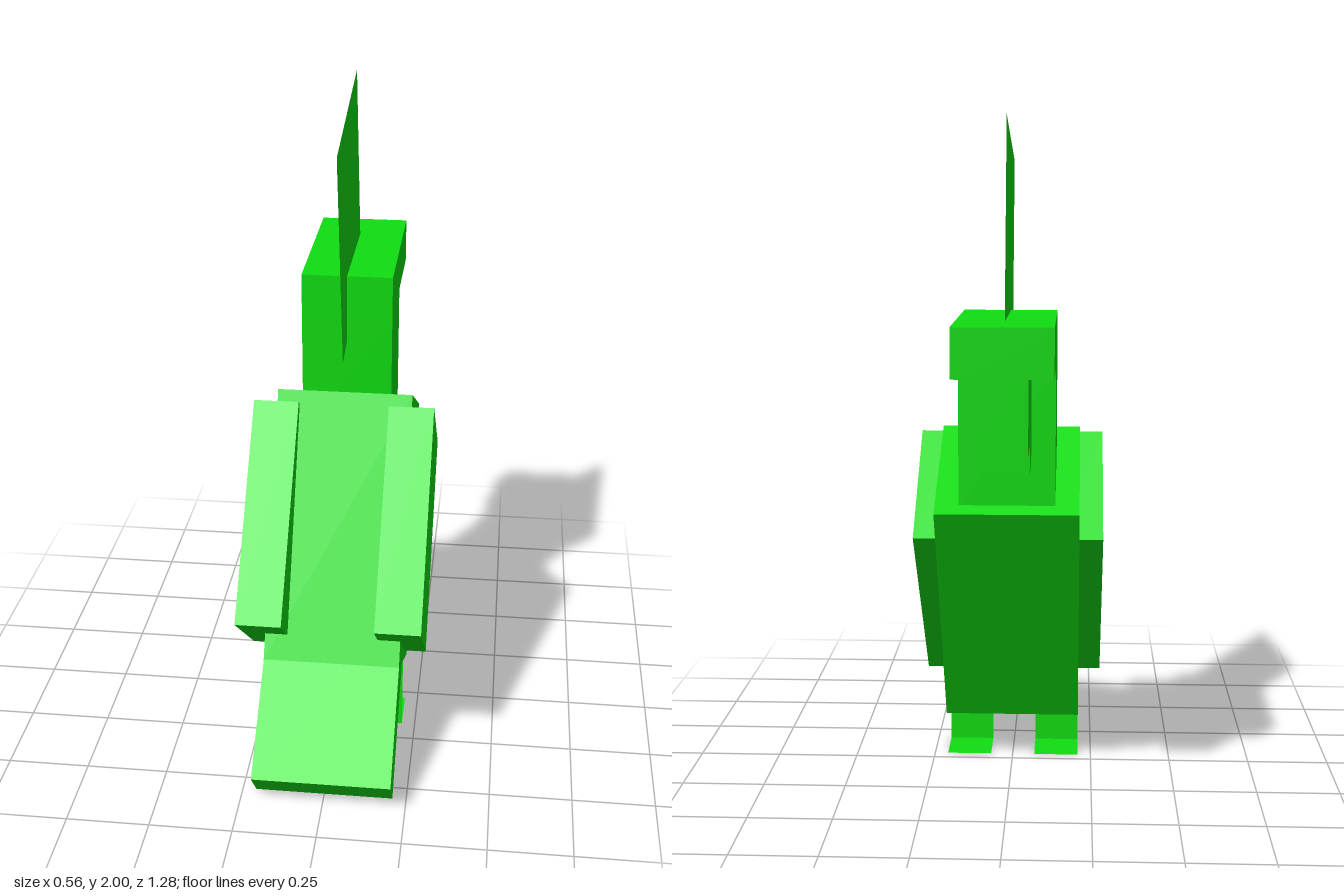
import * as THREE from 'three';

export function createModel() {
  const root = new THREE.Group();
  root.name = 'blockBird';
  const green = new THREE.MeshStandardMaterial({ color: 0x10dd11, side: THREE.DoubleSide });
  green.name = 'feather green';
  const U = 0.139; // one block unit
  const rad = THREE.MathUtils.degToRad;

  function add(name, geometry, [x, y, z], tilt = 0, turn = 0) {
    const mesh = new THREE.Mesh(geometry, green);
    mesh.name = name;
    mesh.position.set(x, y, z);
    mesh.rotation.set(rad(tilt), rad(turn), 0);
    root.add(mesh);
    return mesh;
  }
  // Size in block units
  const box = (w, h, d) => new THREE.BoxGeometry(w * U, h * U, d * U);
  const sheet = (w, h) => new THREE.PlaneGeometry(w * U, h * U);

  // Tilted body and tail
  add('body', box(3, 6, 3), [0, 0.615, -0.018], -28.3);
  add('tail', box(3, 4, 1), [0, 0.234, 0.386], -50);

  // Head, crown and two-piece beak, facing -z
  add('head', box(2, 3, 2), [0, 1.095, -0.224]);
  add('crown', box(2, 1, 4), [0, 1.371, -0.363]);
  add('beakInner', box(1, 2, 1), [0, 1.163, -0.432]);
  add('beakTip', box(1, 1.5, 1), [0, 1.2, -0.571]);

  // Thin upright crest on the centre line
  add('crest', sheet(4, 5), [0, 1.603, -0.165], 12.5, 90);

  // Wings, and legs made of flat sheets
  for (const [side, s] of [['left', 1], ['right', -1]]) {
    add(side + 'Wing', box(1, 5, 3), [s * 1.5 * U, 0.659, 0.073], -40);
    add(side + 'Leg', sheet(1, 2), [s * U, U, 0.174]);
    add(side + 'Foot', sheet(1, 1), [s * U, 0.001, 0.174 - U / 2], -90);
  }
  return root;
}
